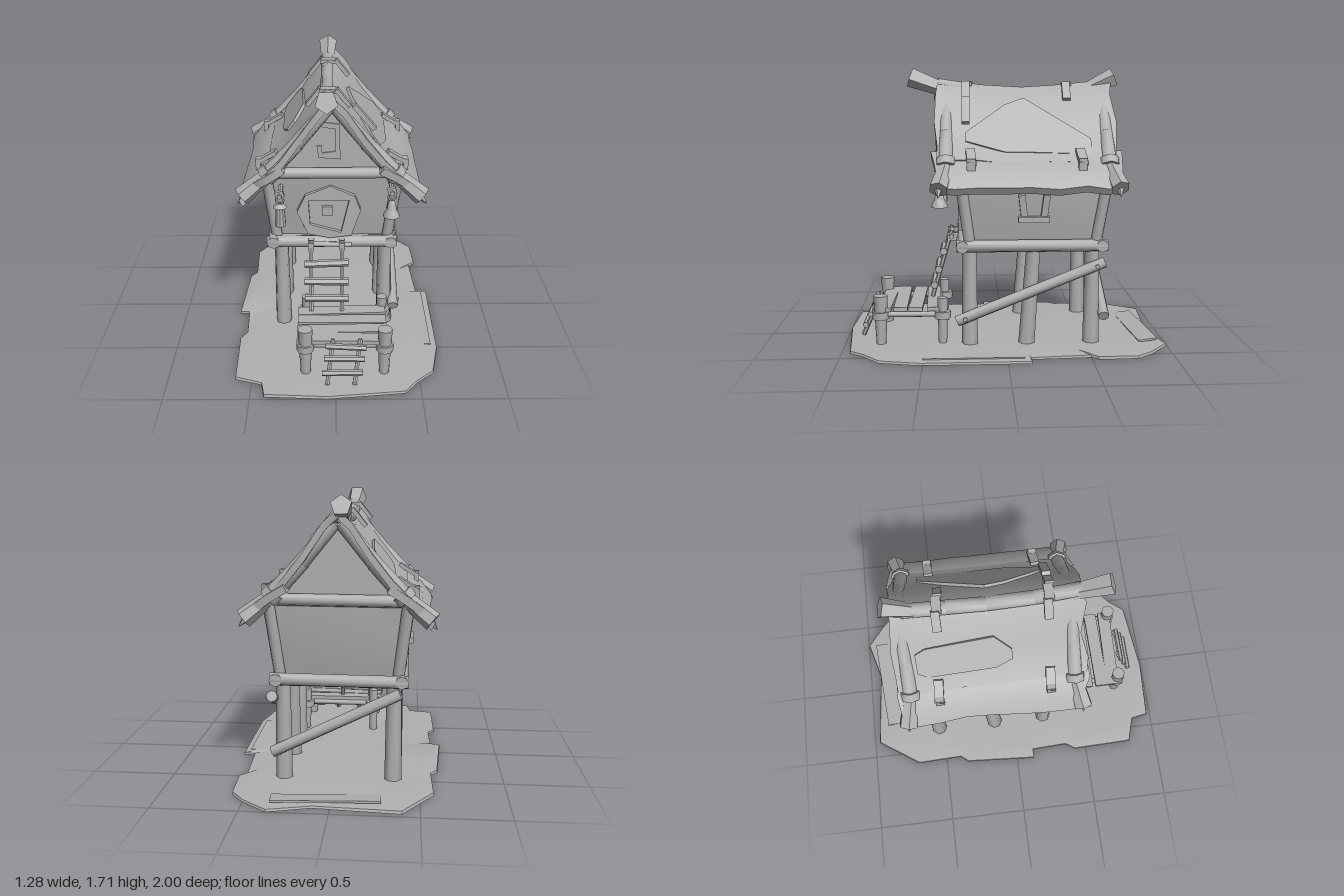
import * as THREE from 'three';
import { toCreasedNormals } from 'three/addons/utils/BufferGeometryUtils.js';

const V = (p) => new THREE.Vector3(...p);
const CX = -0.02; // hut centre line

export function createModel() {
  const root = new THREE.Group();
  root.name = 'stiltHut';
  const mat = new THREE.MeshStandardMaterial({ color: 0xb0b0b0 });
  mat.name = 'ash grey';

  let seed = 7;
  const jit = (a) => { seed = (seed * 16807) % 2147483647; return (seed / 2147483647 - 0.5) * 2 * a; };

  const add = (name, geo, crease = 0.7) => {
    const m = new THREE.Mesh(crease ? toCreasedNormals(geo, crease) : geo, mat);
    m.name = name;
    root.add(m);
    return m;
  };
  // round or polygonal timber between two points
  const beam = (name, a, b, r1, r2 = r1, sides = 8) => {
    const p = V(a), q = V(b), d = q.clone().sub(p);
    const m = add(name, new THREE.CylinderGeometry(r2, r1, d.length(), sides), 1);
    m.position.copy(p).add(q).multiplyScalar(0.5);
    m.quaternion.setFromUnitVectors(new THREE.Vector3(0, 1, 0), d.normalize());
    return m;
  };
  const box = (name, size, pos, rot = [0, 0, 0]) => {
    const m = add(name, new THREE.BoxGeometry(...size), 0);
    m.position.set(...pos);
    m.rotation.set(...rot);
    return m;
  };
  // closed solid through rings of equal point count, capped at both ends
  const loft = (name, rings, crease = 0.7) => {
    const n = rings[0].length, L = rings.length, idx = [];
    for (let k = 0; k < L - 1; k++) for (let i = 0; i < n; i++) {
      const a = k * n + i, b = k * n + (i + 1) % n;
      idx.push(a, b, b + n, a, b + n, a + n);
    }
    const e = (L - 1) * n;
    for (let i = 0; i < n / 2 - 1; i++) {
      idx.push(i, n - 2 - i, i + 1, i, n - 1 - i, n - 2 - i);
      idx.push(e + i, e + i + 1, e + n - 2 - i, e + i, e + n - 2 - i, e + n - 1 - i);
    }
    // turn faces outward when the enclosed volume is negative
    const pts = rings.flat().map(V);
    let vol = 0;
    for (let i = 0; i < idx.length; i += 3) vol += pts[idx[i]].dot(pts[idx[i + 1]].clone().cross(pts[idx[i + 2]]));
    if (vol < 0) idx.reverse();
    const g = new THREE.BufferGeometry().setFromPoints(pts);
    g.setIndex(idx);
    return add(name, g, crease);
  };
  const plate = (name, pts, depth, z, hole) => {
    const s = new THREE.Shape(pts.map((p) => new THREE.Vector2(...p)));
    if (hole) s.holes.push(new THREE.Path(hole.map((p) => new THREE.Vector2(...p))));
    const m = add(name, new THREE.ExtrudeGeometry(s, { depth, bevelEnabled: false }), 0.4);
    m.position.z = z;
    return m;
  };

  // ragged ground slab
  const rim = [[-0.4, -0.97], [0.1, -0.93], [0.35, -1], [0.5, -0.88], [0.58, -0.78], [0.59, -0.54], [0.55, -0.5], [0.57, -0.14],
    [0.64, -0.14], [0.64, 0.52], [0.59, 0.76], [0.48, 0.86], [0.41, 0.95], [-0.05, 1], [-0.42, 0.98], [-0.44, 0.87],
    [-0.6, 0.82], [-0.61, 0.42], [-0.57, 0.36], [-0.58, 0.12], [-0.64, 0.12], [-0.61, -0.35], [-0.57, -0.4], [-0.58, -0.7]];
  const ring = (s, y, j = 0) => rim.map(([x, z]) => [x * s, y + jit(j), z * s]);
  loft('ground', [ring(0.01, 0.002), ring(1, 0), ring(0.995, 0.015, 0.004), ring(0.86, 0.025, 0.004), ring(0.01, 0.026)], 0.5);
  box('groundFlap', [0.62, 0.012, 0.12], [0.03, 0.03, -0.86], [0.1, 0.08, 0]);
  box('groundFlap', [0.08, 0.01, 0.6], [0.56, 0.02, 0.2], [0, 0, 0.04]);

  // stilts and braces
  for (const x of [-0.34, 0.31]) for (const z of [0.22, -0.15, -0.53])
    beam('stilt', [x + (z < 0 ? 0 : jit(0.01)), 0.02, z + (z > -0.3 && z < 0 ? 0.02 : 0)], [x, 0.63, z - (z < 0 && z > -0.3 ? 0.02 : 0)], 0.052, 0.044, 7);
  beam('sideBrace', [0.37, 0.18, 0.3], [0.37, 0.54, -0.6], 0.034);
  beam('backBrace', [0.37, 0.2, -0.6], [-0.38, 0.57, -0.6], 0.034);
  for (const [y, z] of [[0.2, 0.25], [0.52, -0.55]]) beam('bracePeg', [0.3, y, z], [0.412, y, z], 0.013);

  // deck floor and its edge logs
  box('floor', [0.74, 0.05, 0.86], [CX, 0.635, -0.16]);
  for (const z of [0.265, -0.585]) beam('deckLog', [-0.425, 0.635, z], [0.38, 0.64, z], 0.038);
  for (const x of [-0.385, 0.345]) beam('deckLog', [x, 0.64, 0.3], [x, 0.64, -0.62], 0.038);

  // flaring hut body with slightly bulging walls
  const wall = (y, hx, z1, z0, b) => {
    const m = (z0 + z1) / 2;
    return [[CX - hx, y, z0], [CX, y, z0 - b], [CX + hx, y, z0], [CX + hx + b, y, m],
      [CX + hx, y, z1], [CX, y, z1 + b], [CX - hx, y, z1], [CX - hx - b, y, m]];
  };
  loft('walls', [wall(0.64, 0.335, 0.205, -0.535, 0.01), wall(0.86, 0.37, 0.235, -0.575, 0.02), wall(1.12, 0.395, 0.27, -0.6, 0.01)], 0.9);
  for (const s of [-1, 1]) {
    beam('cornerPost', [CX + s * 0.345, 0.65, 0.22], [CX + s * 0.4, 1.12, 0.285], 0.034);
    beam('cornerPost', [CX + s * 0.345, 0.65, -0.55], [CX + s * 0.4, 1.12, -0.62], 0.034);
  }
  plate('gables', [[-0.4, 1.08], [0.36, 1.08], [0.2, 1.3], [0.01, 1.53], [-0.07, 1.53], [-0.24, 1.3]], 0.88, -0.6);
  for (const z of [0.29, -0.61]) beam('gableBeam', [-0.41, 1.11, z], [0.37, 1.115, z], 0.036);

  // round-cornered door with frame and peephole
  plate('door', [[-0.2, 0.74], [-0.16, 0.94], [0.1, 0.96], [0.12, 0.8], [0.03, 0.69], [-0.12, 0.69]], 0.05, 0.215);
  plate('doorFrame', [[-0.235, 0.85], [-0.185, 0.96], [-0.03, 1.025], [0.12, 0.955], [0.155, 0.86], [0.1, 0.69], [-0.03, 0.672], [-0.17, 0.7]], 0.09, 0.2,
    [[-0.165, 0.925], [-0.155, 0.765], [0.035, 0.71], [0.085, 0.93]]);
  box('peephole', [0.065, 0.06, 0.03], [-0.05, 0.855, 0.27]);
  plate('gableHook', [[-0.13, 1.44], [0.025, 1.42], [0.03, 1.2], [-0.1, 1.21], [-0.11, 1.285], [-0.08, 1.285], [-0.08, 1.24],
    [0, 1.25], [0, 1.39], [-0.07, 1.4]], 0.008, 0.28);

  // side windows: two leaning slats on a sill
  for (const s of [-1, 1]) {
    const x = CX + s * 0.4;
    box('windowSill', [0.06, 0.035, 0.19], [x, 0.81, -0.165]);
    for (const [z, t] of [[-0.1, 0.12], [-0.235, -0.12]]) box('windowSlat', [0.04, 0.14, 0.04], [x, 0.89, z], [t, 0, -s * 0.12]);
  }

  // sagging thatch: upper layer and flared skirt on each side
  const zs = [0.42, 0.3, 0.16, 0.02, -0.14, -0.3, -0.46, -0.58, -0.67];
  const sag = (z) => 0.05 * (((z + 0.12) / 0.55) ** 2) - 0.01;
  const slope = (s, z, prof, thick, rag) => {
    const last = prof.length - 1, w = Math.abs(z + 0.12) > 0.5 ? 0.025 : 0;
    const outer = prof.map(([d, y], i) => {
      const r = i === last ? jit(rag) : 0;
      return [CX + s * (d + r * 0.7), y + (prof[0][1] > 1.4 ? sag(z) * (1 - i / last) : 0) - r, z + (w ? jit(w) : 0)];
    });
    return [...outer, ...outer.map(([x, y, zz]) => [x - s * thick * 0.6, y - thick, zz]).reverse()];
  };
  const upper = [[0, 1.59], [0.085, 1.52], [0.2, 1.36], [0.31, 1.23], [0.39, 1.16]];
  const skirt = [[0.3, 1.21], [0.4, 1.15], [0.48, 1.09], [0.535, 1.02]];
  for (const s of [-1, 1]) {
    loft('roofThatch', zs.map((z) => slope(s, z, upper, 0.035, 0.012)), 0.6);
    loft('roofSkirt', zs.map((z) => slope(s, z * 1.02, skirt, 0.04, 0.022)), 0.6);
    // thatch patch
    const patch = (z, a, b) => {
      const o = [a, (a + b) / 2, b].map((d) => [CX + s * d, 1.655 - d * 1.33 + 0.28 * (d - 0.2) ** 2, z]);
      return [...o, ...o.map((p) => [p[0] - s * 0.03, p[1] - 0.03, p[2]]).reverse()];
    };
    loft('roofPatch', s > 0 ? [patch(0.24, 0.25, 0.29), patch(0, 0.13, 0.34), patch(-0.12, 0.1, 0.34), patch(-0.52, 0.28, 0.35)]
      : [patch(0.0, 0.24, 0.28), patch(-0.1, 0.18, 0.31), patch(-0.5, 0.2, 0.32), patch(-0.56, 0.22, 0.3)]);
    // staples over the eave seam
    for (const z of [0.21, -0.45]) {
      box('eaveStaple', [0.14, 0.025, 0.055], [CX + s * 0.395, 1.185, z], [0, s * 0.08, -s * 0.55]);
      box('stapleLeg', [0.03, 0.07, 0.05], [CX + s * 0.445, 1.145, z]);
    }
    // rolled gable edges with bound, splayed tips
    for (const [z, o] of [[0.36, 0.04], [-0.62, -0.04]]) {
      beam('gableRoll', [CX + s * 0.02, 1.55, z], [CX + s * 0.22, 1.31, z], 0.04, 0.045);
      beam('gableRoll', [CX + s * 0.2, 1.33, z], [CX + s * 0.39, 1.125, z], 0.045, 0.05);
      beam('rollBinding', [CX + s * 0.355, 1.16, z], [CX + s * 0.39, 1.12, z], 0.064, 0.064);
      beam('rollTip', [CX + s * 0.38, 1.13, z], [CX + s * 0.535, 1.01, z + o], 0.045, 0.058, 6);
      beam('rollSpike', [CX + s * 0.5, 1.03, z + o], [CX + s * 0.56, 0.965, z + o], 0.035, 0.003, 5);
    }
  }

  // ridge log with upswept flared ends and ties
  const ridge = [[-0.04, 1.6, 0.42], [-0.045, 1.56, 0.15], [-0.045, 1.545, -0.12], [-0.045, 1.56, -0.35], [-0.05, 1.585, -0.6]];
  for (let i = 0; i < 4; i++) beam('ridgeLog', ridge[i], ridge[i + 1], 0.045);
  beam('ridgeHornFront', [-0.04, 1.565, 0.34], [-0.05, 1.655, 0.585], 0.045, 0.066, 5);
  beam('ridgeHornBack', [-0.05, 1.57, -0.52], [-0.045, 1.65, -0.705], 0.04, 0.062, 5);
  for (const z of [0.23, -0.4]) {
    box('ridgeTie', [0.1, 0.025, 0.055], [-0.045, 1.605 + sag(z) * 0.5, z]);
    for (const s of [-1, 1]) box('ridgeTieLeg', [0.13, 0.025, 0.05], [-0.04 + s * 0.085, 1.565 + sag(z) * 0.5, z + s * 0.01], [0, 0, -s * 0.9]);
  }
  box('roofClip', [0.03, 0.19, 0.05], [0.17, 1.45, 0.24], [0, 0, 0.7]);

  // hanging bells
  const bell = (x, top, prof) => {
    const m = add('bell', new THREE.LatheGeometry(prof.map((p) => new THREE.Vector2(...p)), 10), 0.6);
    m.position.set(x, top, 0.4);
    const r = add('bellRing', new THREE.TorusGeometry(0.022, 0.007, 5, 10), 0);
    r.position.set(x, top + 0.02, 0.4);
    beam('bellPeg', [x, top + 0.05, 0.25], [x, top + 0.055, 0.435], 0.014, 0.014, 6);
    box('bellStrap', [0.05, 0.04, 0.03], [x, top + 0.06, 0.4], [0, 0, 0.3]);
  };
  bell(-0.33, 0.965, [[0, -0.145], [0.035, -0.145], [0.027, -0.03], [0.042, -0.025], [0.02, 0], [0, 0.002]]);
  bell(0.335, 0.985, [[0, -0.1], [0.052, -0.105], [0.045, -0.085], [0.03, -0.06], [0.024, -0.02], [0.012, 0], [0, 0.002]]);

  // landing with posts, collars, cross logs and planks
  for (const x of [-0.18, 0.29]) {
    beam('landingPost', [x, 0.02, 0.77], [x, 0.325, 0.77], 0.03, 0.044);
    beam('landingPost', [x, 0.02, 0.39], [x, 0.31, 0.39], 0.026, 0.032);
    for (const z of [0.77, 0.39]) beam('postCollar', [x, 0.18, z], [x, 0.225, z], 0.052);
    beam('landingRail', [x, 0.205, 0.8], [x, 0.205, 0.36], 0.018);
  }
  for (const z of [0.75, 0.42]) beam('landingLog', [-0.2, 0.205, z], [0.3, 0.205, z], 0.02);
  [0.45, 0.55, 0.65, 0.74].forEach((z, i) => box('landingPlank', [0.54, 0.025, 0.085], [0.04, 0.237, z], [0, [0.03, -0.02, 0.01, -0.03][i], 0.012]));

  // ladders: two rails and rungs laid along them
  const ladder = (name, lo, hi, x0, x1, lean, rungs, rr) => {
    for (const x of [x0, x1]) beam(name + 'Rail', [x, ...lo], [x + lean, ...hi], 0.014, 0.014, 6);
    for (const t of rungs) {
      const y = lo[0] + (hi[0] - lo[0]) * t, z = lo[1] + (hi[1] - lo[1]) * t + 0.012;
      beam(name + 'Rung', [x0 - 0.04 + lean * t, y + jit(0.008), z], [x1 + 0.04 + lean * t, y + jit(0.008), z], rr, rr, 6);
    }
  };
  ladder('upperLadder', [0.25, 0.46], [0.68, 0.335], -0.15, 0.04, 0, [0.2, 0.43, 0.69], 0.024);
  beam('ladderHook', [-0.17, 0.655, 0.335], [0.1, 0.65, 0.335], 0.016);
  for (const x of [-0.15, 0.04]) box('ladderLash', [0.035, 0.05, 0.07], [x, 0.645, 0.325]);
  ladder('lowerLadder', [0.025, 0.9], [0.27, 0.79], -0.05, 0.11, 0.035, [0.27, 0.58, 0.85], 0.018);

  return root;
}
